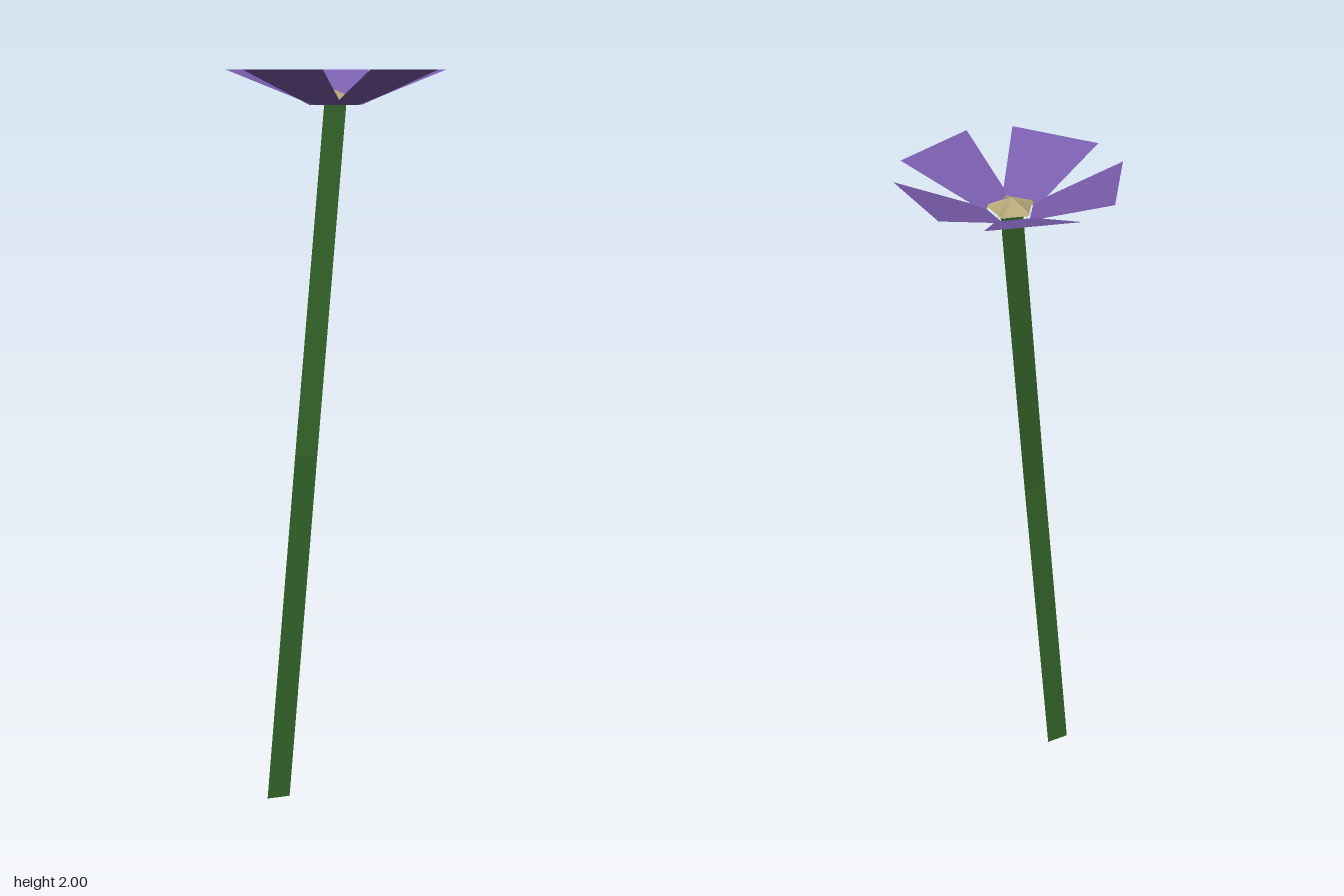
import * as THREE from 'three';

const makeMaterial = (color) =>
  new THREE.MeshStandardMaterial({ color, side: THREE.DoubleSide, flatShading: true });

// Flat strip through pairs of left/right points.
function strip(pairs) {
  const index = [];
  for (let i = 0; i < pairs.length - 1; i++) {
    const a = i * 2;
    index.push(a, a + 1, a + 3, a, a + 3, a + 2);
  }
  const geometry = new THREE.BufferGeometry();
  geometry.setAttribute('position', new THREE.Float32BufferAttribute(pairs.flat(2), 3));
  geometry.setIndex(index);
  geometry.computeVertexNormals();
  return geometry;
}

export function createModel() {
  const model = new THREE.Group();
  const purple = makeMaterial(0x7a5eae);
  const straw = makeMaterial(0xb5a878);
  const green = makeMaterial(0x35662a);

  const add = (parent, name, geometry, material) => {
    const mesh = new THREE.Mesh(geometry, material);
    mesh.name = name;
    parent.add(mesh);
    return mesh;
  };

  // Stem: a bent ribbon, wide along x
  const half = 0.033;
  const path = [[-0.203, 0, 0.09], [-0.118, 0.955, 0.09], [0.008, 1.907, 0]];
  add(model, 'stem', strip(path.map(([x, y, z]) => [[x - half, y, z], [x + half, y, z]])), green);

  const flower = new THREE.Group();
  flower.name = 'flower';
  flower.position.x = 0.008;
  model.add(flower);

  // Five flaring petals
  const petal = strip([
    [[0.052, 1.905, 0.051], [0.052, 1.905, -0.051]],
    [[0.276, 2, 0.124], [0.276, 2, -0.124]],
  ].map(([l, r]) => [r, l]));
  for (let k = 0; k < 5; k++) {
    add(flower, 'petal', petal, purple).rotation.y = k * Math.PI * 0.4;
  }

  // Five-sided cone in the middle
  const low = 1.91, high = 1.945;
  const cone = new THREE.ConeGeometry(0.06, high - low, 5, 1, true, -Math.PI / 2);
  cone.translate(0, (low + high) / 2, 0);
  add(flower, 'flowerCentre', cone, straw);

  // Folded stamens along the cone's corners
  const stamen = strip([
    [[0, high, 0], [0.064, low, 0.01]],
    [[0, high, 0], [0.06, low + 0.01, 0]],
    [[0, high, 0], [0.064, low, -0.01]],
  ]);
  for (let k = 0; k < 5; k++) {
    add(flower, 'stamen', stamen, straw).rotation.y = (k + 0.5) * Math.PI * 0.4;
  }

  return model;
}
